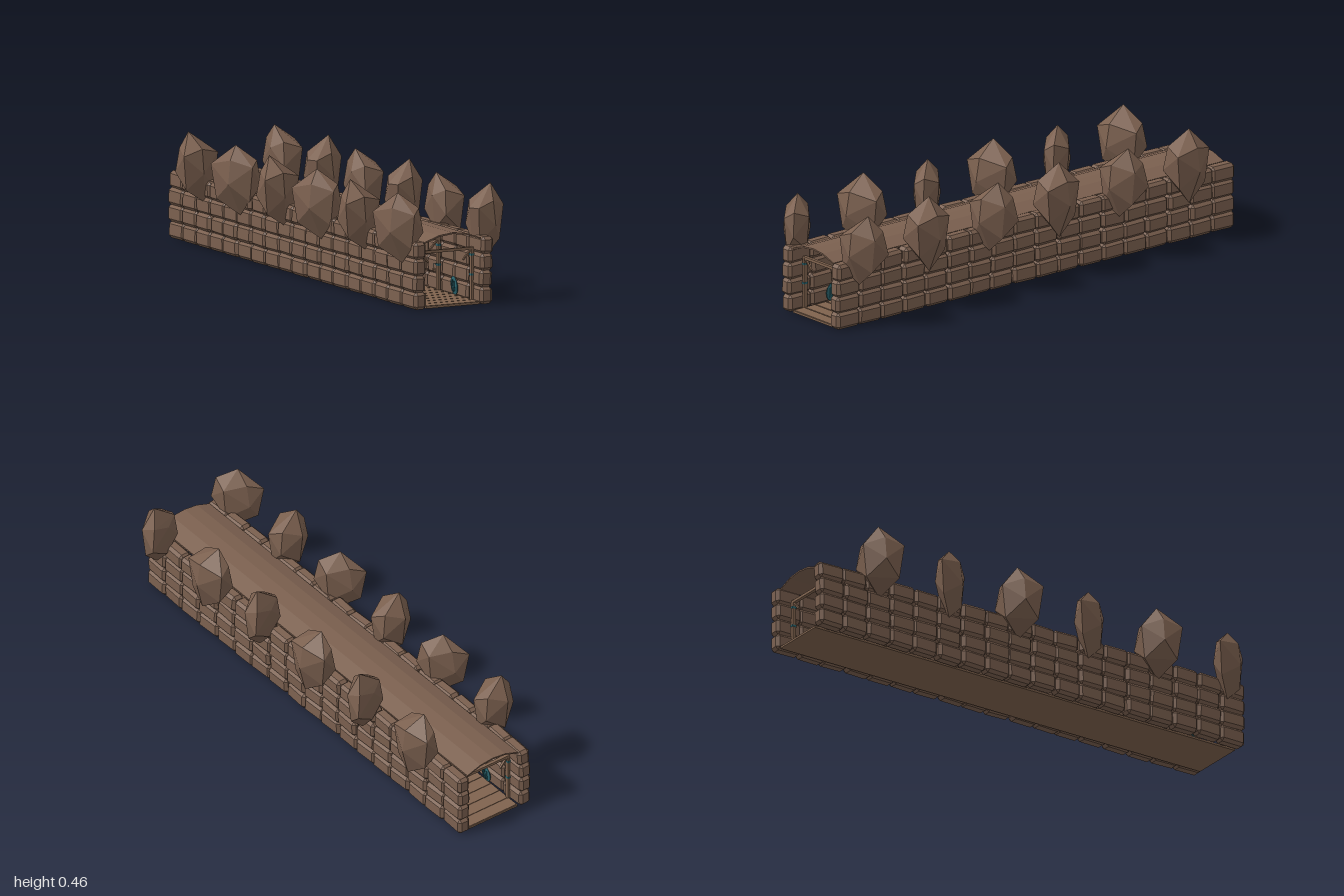
import * as THREE from 'three';
import { mergeGeometries } from 'three/addons/utils/BufferGeometryUtils.js';
import { ConvexGeometry } from 'three/addons/geometries/ConvexGeometry.js';

const V = (x, y, z) => new THREE.Vector3(x, y, z);

// Box with all edges cut, as the hull of 24 points
function cutBox(w, h, d, c) {
  const pts = [], [a, b, e] = [w / 2, h / 2, d / 2];
  for (const i of [-1, 1]) for (const j of [-1, 1]) for (const k of [-1, 1]) {
    pts.push(V(i * a, j * (b - c), k * (e - c)), V(i * (a - c), j * b, k * (e - c)),
      V(i * (a - c), j * (b - c), k * e));
  }
  return new ConvexGeometry(pts);
}

// Pointed boulder: a plan outline [x, z] repeated at two heights, plus a tip and a foot
function boulder(outline, tip, foot) {
  const n = outline.length;
  const cx = outline.reduce((s, p) => s + p[0], 0) / n;
  const cz = outline.reduce((s, p) => s + p[1], 0) / n;
  const pts = [V(...tip), V(...foot)];
  outline.forEach(([x, z], i) => {
    const up = i % 2 === 0;
    const at = (s, y) => pts.push(V(cx + (x - cx) * s, y, cz + (z - cz) * s));
    at(1, up ? 0.37 : 0.3);
    at(0.8, up ? 0.235 : 0.395);
  });
  return new ConvexGeometry(pts);
}

export function createModel() {
  const model = new THREE.Group();
  model.name = 'stoneTunnel';
  const mat = (name, color) => {
    const m = new THREE.MeshStandardMaterial({ color, flatShading: true });
    m.name = name;
    return m;
  };
  const stone = mat('brown stone', 0x7b604f);
  const wood = mat('brown wood', 0x80634e);
  const teal = mat('teal', 0x2b6670);
  const roofMat = mat('roof brown', 0x7b604f);
  roofMat.side = THREE.DoubleSide;

  let seed = 7;
  const rnd = () => ((seed = (seed * 16807) % 2147483647) / 2147483647) - 0.5;

  const add = (parent, name, geo, material, x = 0, y = 0, z = 0) => {
    const m = new THREE.Mesh(geo, material);
    m.name = name;
    m.position.set(x, y, z);
    parent.add(m);
    return m;
  };
  const box = (w, h, d) => new THREE.BoxGeometry(w, h, d);

  // Walls: four courses of rough stones on each side
  const block = cutBox(0.054, 0.068, 0.115, 0.012);
  const count = 18, pitch = 2 / count;
  for (const side of [-1, 1]) {
    for (let row = 0; row < 4; row++) {
      const stones = [];
      for (let i = 0; i < count; i++) {
        const end = i === 0 || i === count - 1;
        const g = block.clone();
        g.rotateZ(rnd() * 0.1);
        g.rotateY(rnd() * 0.1);
        const z = -1 + pitch * (i + 0.5) + (end ? 0 : rnd() * 0.012);
        g.translate(side * (0.147 + rnd() * 0.005), 0.034 + row * 0.0655, z);
        stones.push(g);
      }
      add(model, side > 0 ? 'leftWallCourse' : 'rightWallCourse', mergeGeometries(stones), stone);
    }
  }

  // Floor slab with thin planks
  add(model, 'floor', box(0.236, 0.008, 1.98), wood, 0.002, 0.005, 0);
  const planks = [];
  for (let i = 0; i < 36; i++) {
    planks.push(box(0.23, 0.003, 0.05).translate(0.002, 0.0098, -0.9625 + i * 0.055));
  }
  add(model, 'floorPlanks', mergeGeometries(planks), wood);

  // Shallow vaulted roof
  const arch = [[-0.122, 0.259], [-0.06, 0.281], [0, 0.288], [0.06, 0.282], [0.124, 0.26]];
  const section = new THREE.Shape([
    ...arch.map(([x, y]) => new THREE.Vector2(x, y + 0.002)),
    ...arch.slice().reverse().map(([x, y]) => new THREE.Vector2(x, y - 0.004)),
  ]);
  const roof = new THREE.ExtrudeGeometry(section, { depth: 1.97, bevelEnabled: false });
  add(model, 'vaultedRoof', roof.translate(0, 0, -0.985), roofMat);

  // Boulders on the walls: two shapes per side, taking turns along the length
  const shapes = {
    leftSlim: boulder([[0.11, 0.02], [0.12, -0.03], [0.18, -0.05], [0.272, -0.07], [0.272, 0], [0.2, 0.07], [0.13, 0.06]],
      [0.22, 0.457, -0.01], [0.19, 0.175, 0.01]),
    leftWide: boulder([[0.125, 0.02], [0.155, -0.1], [0.21, -0.1], [0.262, -0.01], [0.235, 0.08], [0.15, 0.085]],
      [0.17, 0.452, -0.03], [0.22, 0.168, 0.01]),
    rightSlim: boulder([[-0.262, -0.08], [-0.2, -0.07], [-0.125, 0], [-0.125, 0.08], [-0.17, 0.09], [-0.245, 0.03]],
      [-0.195, 0.45, 0], [-0.18, 0.175, 0.01]),
    rightWide: boulder([[-0.278, 0.06], [-0.272, -0.02], [-0.2, -0.08], [-0.112, -0.055], [-0.1, 0.01], [-0.2, 0.08]],
      [-0.215, 0.455, -0.02], [-0.165, 0.178, 0.02]),
  };
  for (let i = 0; i < 6; i++) {
    const z = -0.74 + i * 0.328, kind = i % 2 ? 'Slim' : 'Wide';
    add(model, 'leftBoulder', shapes['left' + kind], stone, 0, 0, z);
    add(model, 'rightBoulder', shapes['right' + kind], stone, 0, 0, z);
  }

  // Timber frames with braces, teal bands and hanging lanterns
  const frameZ = [-0.93, -0.66, -0.33, 0, 0.33, 0.66, 0.93];
  frameZ.forEach((z, n) => {
    const frame = new THREE.Group();
    frame.name = 'timberFrame';
    frame.position.z = z;
    model.add(frame);
    add(frame, 'crossBeam', box(0.24, 0.011, 0.014), wood, 0.002, 0.213, 0);
    for (const s of [-1, 1]) {
      add(frame, 'post', box(0.011, 0.205, 0.016), wood, s * 0.115, 0.11, 0);
      add(frame, 'brace', box(0.006, 0.054, 0.009), wood, s * 0.094, 0.19, 0).rotation.z = -s * 0.72;
      for (const y of [0.11, 0.188]) add(frame, 'postBand', box(0.013, 0.008, 0.019), teal, s * 0.115, y, 0);
      if (n % 2) {
        add(frame, 'lanternArm', box(0.024, 0.002, 0.002), teal, s * 0.105, 0.114, 0);
        add(frame, 'lanternChain', box(0.001, 0.016, 0.001), teal, s * 0.095, 0.106, 0);
        add(frame, 'lantern', box(0.008, 0.012, 0.008), wood, s * 0.096, 0.089, 0);
        add(frame, 'lanternCap', new THREE.ConeGeometry(0.008, 0.005, 4, 1, false, Math.PI / 4), wood, s * 0.096, 0.0975, 0);
      }
    }
    if (n % 3 === 1) {
      // Cloth banner with a notched lower edge
      const cloth = new THREE.Shape([[-0.008, 0.065], [-0.008, 0], [0, 0.004], [0.008, 0], [0.008, 0.065]]
        .map((p) => new THREE.Vector2(...p)));
      const g = new THREE.ExtrudeGeometry(cloth, { depth: 0.002, bevelEnabled: false });
      add(frame, 'banner', g, teal, 0.083, 0.138, 0);
    }
  });

  // Ribbed teal shields leaning on the walls
  const dome = new THREE.SphereGeometry(1, 10, 6).scale(0.006, 0.038, 0.028);
  for (const z of [-0.8, -0.16, 0.5, 0.8]) for (const s of [-1, 1]) {
    const shield = new THREE.Group();
    shield.name = 'leaningShield';
    shield.position.set(s * 0.109, 0.048, z);
    shield.rotation.z = -s * -0.1;
    model.add(shield);
    add(shield, 'shieldFace', dome, teal);
    for (const k of [-1, 0, 1]) add(shield, 'shieldRib', box(0.003, 0.05 - Math.abs(k) * 0.01, 0.003), teal, -s * 0.006, 0, k * 0.011);
  }
  return model;
}
